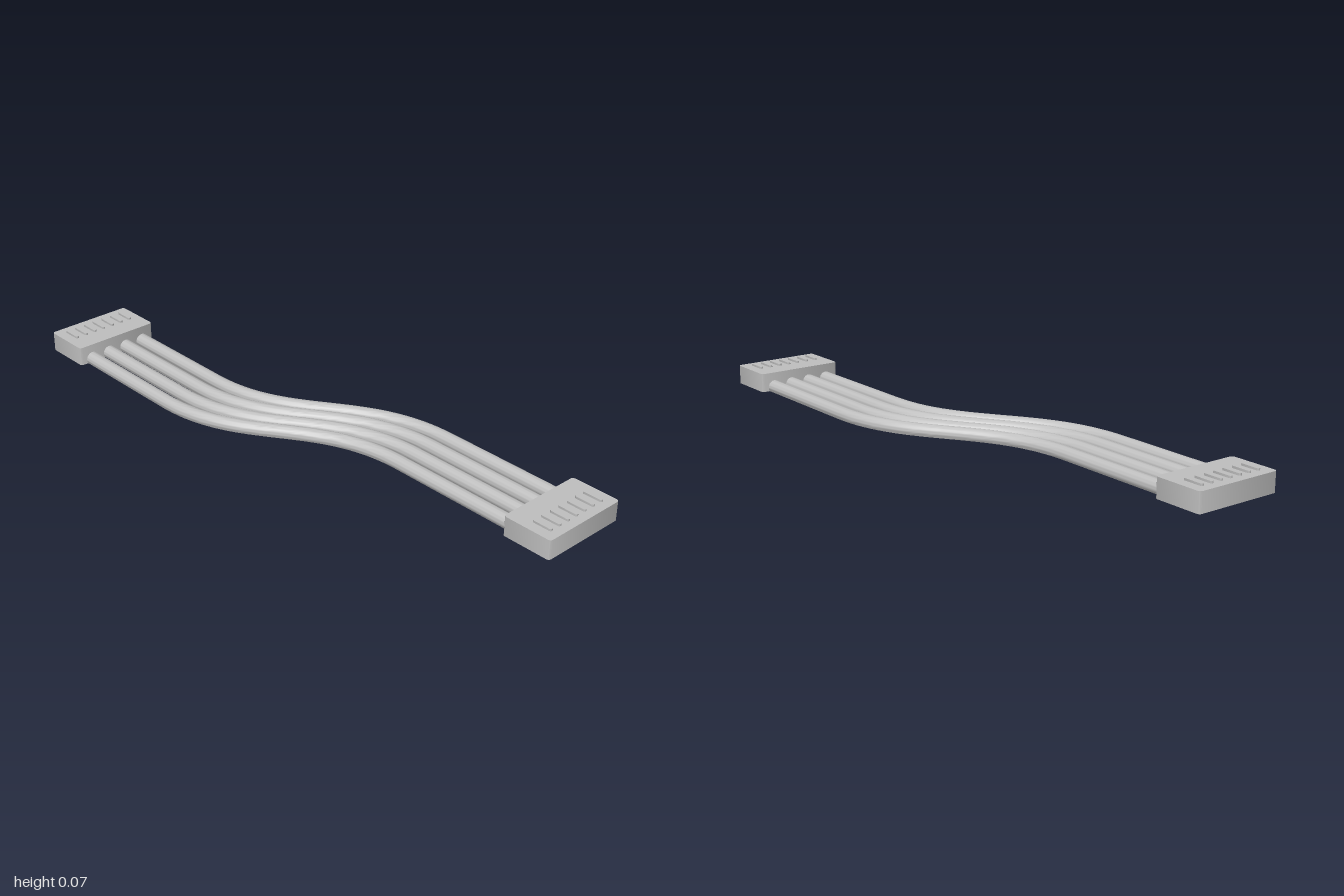
import * as THREE from 'three';
import { toCreasedNormals } from 'three/addons/utils/BufferGeometryUtils.js';

const WIDTH = 0.17, LENGTH = 0.305, HEIGHT = 0.065;
const END_Z = 0.1475; // centre of each connector, +z on one end and -z on the other
const RADIUS = 0.0235, CABLE_Y = 0.0135;

// Upright block with rounded vertical edges, standing on y = 0
function roundedBlock(w, d, h, r) {
  const x = w / 2, y = d / 2;
  const s = new THREE.Shape();
  s.moveTo(x, -y + r);
  s.absarc(x - r, y - r, r, 0, Math.PI / 2);
  s.absarc(-x + r, y - r, r, Math.PI / 2, Math.PI);
  s.absarc(-x + r, -y + r, r, Math.PI, Math.PI * 1.5);
  s.absarc(x - r, -y + r, r, Math.PI * 1.5, Math.PI * 2);
  const g = new THREE.ExtrudeGeometry(s, { depth: h, bevelEnabled: false, curveSegments: 5 });
  g.rotateX(-Math.PI / 2);
  return toCreasedNormals(g, 0.6);
}

// S-shaped centre line in the ground plane: straight, bend, straight
function cablePath(offset) {
  const a = END_Z + offset, b = -END_Z + offset;
  const bend = new THREE.CubicBezierCurve3(
    new THREE.Vector3(-0.41, 0, a), new THREE.Vector3(-0.04, 0, a),
    new THREE.Vector3(0.01, 0, b), new THREE.Vector3(0.38, 0, b));
  return [new THREE.Vector3(-0.84, 0, a), ...bend.getPoints(40), new THREE.Vector3(0.84, 0, b)];
}

// Round section cut flat where it rests on the ground, swept along the path
function cableGeometry(points) {
  const steps = 20, ring = steps + 1;
  const cut = -Math.asin(CABLE_Y / RADIUS);
  const pos = [], index = [];
  points.forEach((p, i) => {
    const prev = points[Math.max(i - 1, 0)], next = points[Math.min(i + 1, points.length - 1)];
    const t = next.clone().sub(prev).normalize();
    if (i <= 1 || i >= points.length - 2) t.set(1, 0, 0);
    for (let j = 0; j < ring; j++) {
      const a = cut + (Math.PI - 2 * cut) * j / steps;
      const side = RADIUS * Math.cos(a);
      pos.push(p.x - t.z * side, CABLE_Y + RADIUS * Math.sin(a), p.z + t.x * side);
    }
  });
  for (let i = 0; i < points.length - 1; i++) {
    for (let j = 0; j < ring; j++) {
      const k = (j + 1) % ring;
      const a = i * ring + j, b = a + ring, c = (i + 1) * ring + k, d = i * ring + k;
      index.push(a, b, c, a, c, d);
    }
  }
  const g = new THREE.BufferGeometry();
  g.setAttribute('position', new THREE.Float32BufferAttribute(pos, 3));
  g.setIndex(index);
  return toCreasedNormals(g, 0.6);
}

export function createModel() {
  const model = new THREE.Group();
  model.name = 'ribbonCable';
  const grey = new THREE.MeshStandardMaterial({ color: 0xc0c0c0 });
  grey.name = 'lightGrey';

  const add = (parent, geometry, name, x = 0, y = 0, z = 0) => {
    const m = new THREE.Mesh(geometry, grey);
    m.name = name;
    m.position.set(x, y, z);
    parent.add(m);
  };

  // Connectors with seven grip ribs on top
  const body = roundedBlock(WIDTH, LENGTH, HEIGHT, 0.01);
  const rib = roundedBlock(0.067, 0.012, 0.008, 0.0055);
  for (const side of [-1, 1]) {
    const connector = new THREE.Group();
    connector.name = side > 0 ? 'leftConnector' : 'rightConnector';
    connector.position.set(side * (1 - WIDTH / 2), 0, -side * END_Z);
    add(connector, body, 'connectorBody');
    for (let i = -3; i <= 3; i++) add(connector, rib, 'gripRib', side * 0.022, HEIGHT - 0.001, i * 0.037);
    model.add(connector);
  }

  // Four parallel wires
  for (let i = 0; i < 4; i++) add(model, cableGeometry(cablePath((i - 1.5) * 0.07)), 'wire');

  return model;
}
